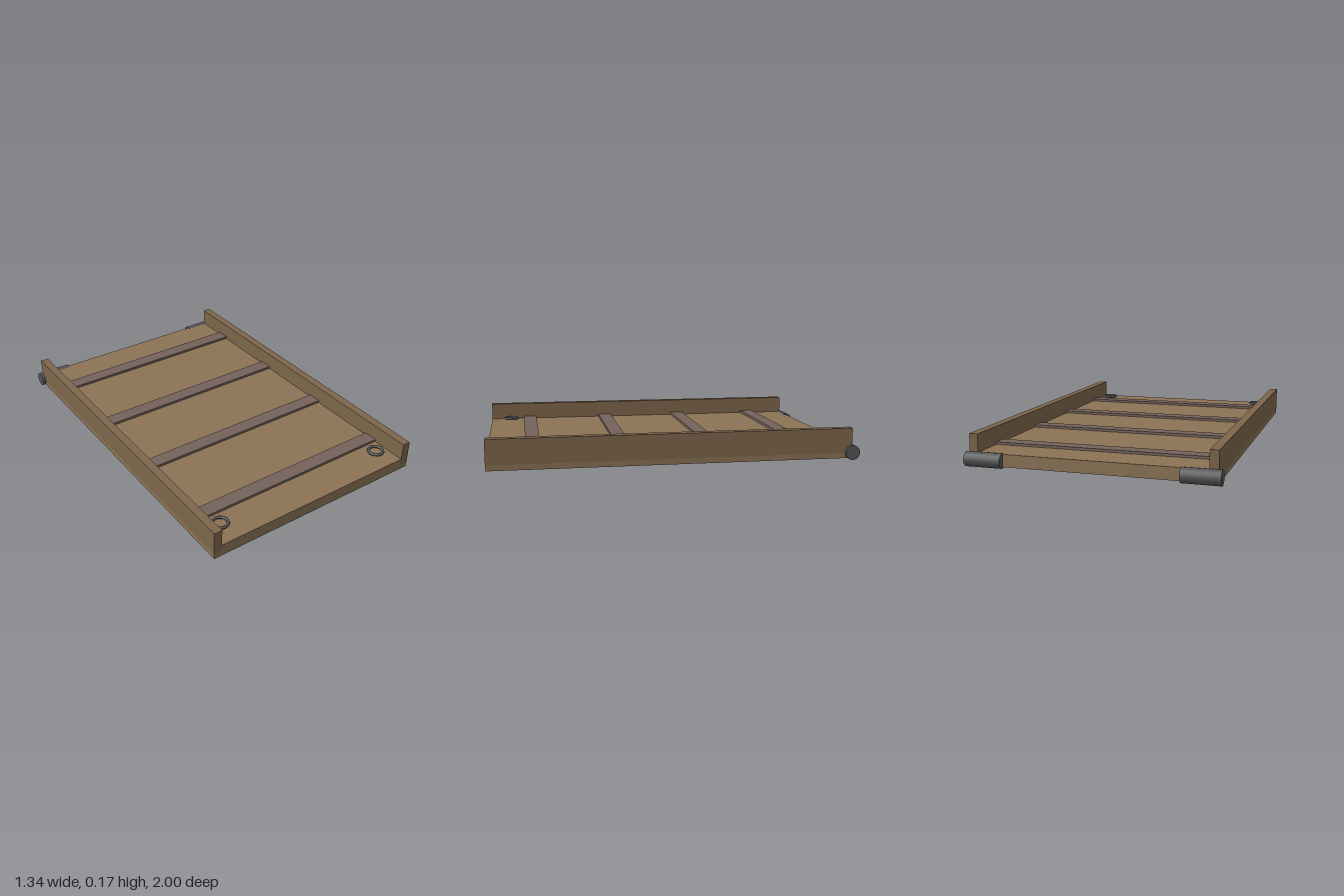
import * as THREE from 'three';

export function createModel() {
  const model = new THREE.Group();
  model.name = 'hingedRamp';

  const paint = (color) => new THREE.MeshStandardMaterial({ color });
  const deckWood = paint(0x8b7355);
  const railWood = paint(0x7d664b);
  const cleatWood = paint(0x75635b);
  const iron = paint(0x555555);

  const add = (name, geometry, material, x, y, z) => {
    const mesh = new THREE.Mesh(geometry, material);
    mesh.name = name;
    mesh.position.set(x, y, z);
    model.add(mesh);
    return mesh;
  };

  // Flat deck
  add('deck', new THREE.BoxGeometry(1.304, 0.067, 1.958), deckWood, 0, 0.0435, 0.02);

  // Raised cross cleats
  const cleat = new THREE.BoxGeometry(1.21, 0.03, 0.08);
  for (let i = 0; i < 4; i++) {
    add('cleat', cleat, cleatWood, 0, 0.076, -0.718 + i * 0.491);
  }

  // Side rails, hinge barrels and rope rings, mirrored left and right
  const rail = new THREE.BoxGeometry(0.047, 0.135, 1.96);
  const barrel = new THREE.CylinderGeometry(0.04, 0.04, 0.202, 16).rotateZ(Math.PI / 2);
  const ring = new THREE.TorusGeometry(0.04, 0.008, 8, 24).rotateX(Math.PI / 2);
  for (const [side, s] of [['left', 1], ['right', -1]]) {
    add(side + 'Rail', rail, railWood, s * 0.6295, 0.1075, 0.02);
    add(side + 'Hinge', barrel, iron, s * 0.57, 0.042, -0.96);
    add(side + 'Ring', ring, iron, s * 0.53, 0.0925, 0.875);
  }

  return model;
}
